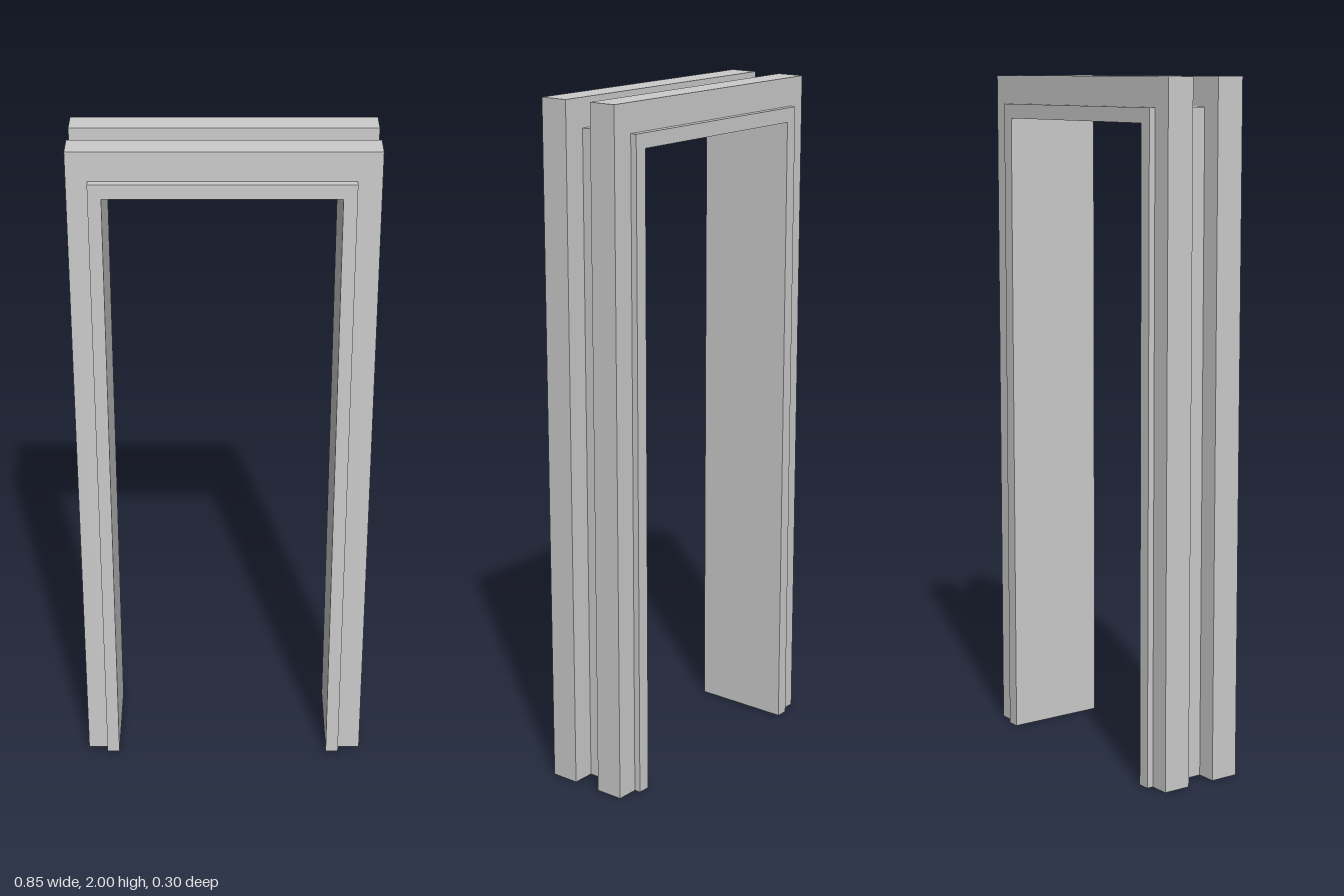
import * as THREE from 'three';

const material = new THREE.MeshStandardMaterial({ color: 0xcccccc, flatShading: true });

// Upright U-shaped frame: outer outline minus an opening that reaches the floor
function portal(name, outer, inner, zBack, zFront) {
  const [ol, or, ot] = outer;
  const [il, ir, it] = inner;
  const outline = [[ol, 0], [il, 0], [il, it], [ir, it], [ir, 0], [or, 0], [or, ot], [ol, ot]];
  const shape = new THREE.Shape(outline.map(([x, y]) => new THREE.Vector2(x, y)));
  const geometry = new THREE.ExtrudeGeometry(shape, { depth: zFront - zBack, bevelEnabled: false });
  geometry.translate(0, 0, zBack);
  const mesh = new THREE.Mesh(geometry, material);
  mesh.name = name;
  return mesh;
}

export function createModel() {
  const group = new THREE.Group();
  group.name = 'doorFrame';

  // [left edge, right edge, top]
  const opening = [-0.328, 0.319, 1.875];
  const liningOuter = [-0.365, 0.357, 1.917];
  const casingOuter = [-0.424, 0.424, 2];

  // Deep lining around the doorway
  group.add(portal('lining', liningOuter, opening, -0.149, 0.149));

  // Casings wrapped around the lining, with a wall slot between them
  group.add(portal('frontCasing', casingOuter, liningOuter, 0.04, 0.125));
  group.add(portal('backCasing', casingOuter, liningOuter, -0.13, -0.046));

  return group;
}
